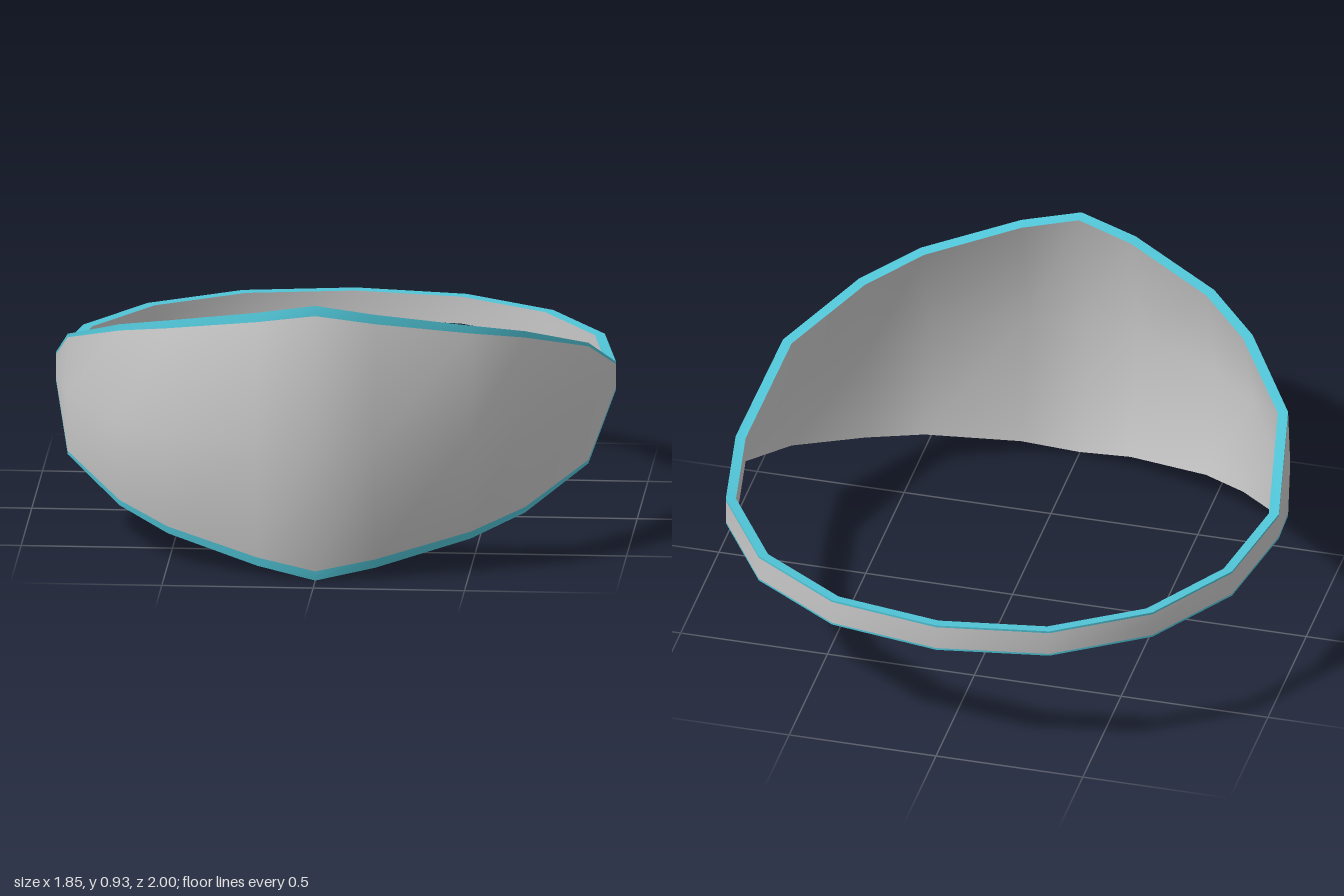
import * as THREE from 'three';

const MID_Y = 0.468;
const THICK = 0.034;

// Stations from back to front on the left side:
// edge x, edge z, middle x, middle z, half height, outer trim height
const HALF = [
  [0, -1, 0, -1, 0.048, 0.007],
  [0.37, -0.94, 0.37, -0.94, 0.048, 0.007],
  [0.67, -0.745, 0.67, -0.745, 0.048, 0.007],
  [0.862, -0.44, 0.862, -0.44, 0.048, 0.007],
  [0.925, -0.07, 0.925, -0.07, 0.048, 0.008],
  [0.86, 0.3, 0.866, 0.305, 0.205, 0.012],
  [0.67, 0.565, 0.675, 0.66, 0.308, 0.02],
  [0.5, 0.715, 0.505, 0.81, 0.362, 0.025],
  [0.195, 0.86, 0.195, 0.96, 0.43, 0.03],
  [0, 0.9, 0, 1, 0.467, 0.033],
];

// Mirror the half ring into a closed loop
const mirrored = HALF.slice(1, -1).reverse().map(([x, z, mx, mz, h, s]) => [-x, z, -mx, mz, h, s]);
const RING = [...HALF, ...mirrored];

// Move a point inwards by the shell thickness
function inset(x, y, z) {
  const n = new THREE.Vector2(x / 0.856, z + 0.05).normalize();
  return [x - n.x * THICK, y, z - n.y * THICK];
}

// Cross-section points of one station
function section([x, z, mx, mz, h, s]) {
  const k = s / h;
  const bx = x + (mx - x) * k, bz = z + (mz - z) * k;
  return {
    top: [x, MID_Y + h, z],
    trimTop: [bx, MID_Y + h - s, bz],
    mid: [mx, MID_Y, mz],
    trimBottom: [bx, MID_Y - h + s, bz],
    bottom: [x, MID_Y - h, z],
    innerTop: inset(x, MID_Y + h - s * 0.3, z),
    innerMid: inset(mx, MID_Y, mz),
    innerBottom: inset(x, MID_Y - h + s * 0.3, z),
  };
}
const SECTIONS = RING.map(section);

// Closed smooth strip through the named section points
function strip(name, keys, material) {
  const positions = [], index = [];
  const rows = keys.length, count = SECTIONS.length;
  SECTIONS.forEach((sec, i) => {
    const next = (i + 1) % count;
    keys.forEach((key, r) => {
      positions.push(...sec[key]);
      if (r === rows - 1) return;
      const a = i * rows + r, b = next * rows + r;
      index.push(a, b, b + 1, a, b + 1, a + 1);
    });
  });
  const geometry = new THREE.BufferGeometry();
  geometry.setAttribute('position', new THREE.Float32BufferAttribute(positions, 3));
  geometry.setIndex(index);
  geometry.computeVertexNormals();
  const mesh = new THREE.Mesh(geometry, material);
  mesh.name = name;
  return mesh;
}

export function createModel() {
  const grey = new THREE.MeshStandardMaterial({ color: 0xc8c8c8 });
  grey.name = 'light grey';
  const cyan = new THREE.MeshStandardMaterial({ color: 0x50c4d6 });
  cyan.name = 'cyan';

  const group = new THREE.Group();
  group.name = 'maskWithHeadband';
  group.add(
    // Outer and inner shell of the face cover and band
    strip('outerShell', ['trimTop', 'mid', 'trimBottom'], grey),
    strip('innerShell', ['innerBottom', 'innerMid', 'innerTop'], grey),
    // Coloured edging: outer lip and rim, above and below
    strip('upperLip', ['top', 'trimTop'], cyan),
    strip('lowerLip', ['trimBottom', 'bottom'], cyan),
    strip('upperRim', ['innerTop', 'top'], cyan),
    strip('lowerRim', ['bottom', 'innerBottom'], cyan),
  );
  return group;
}
